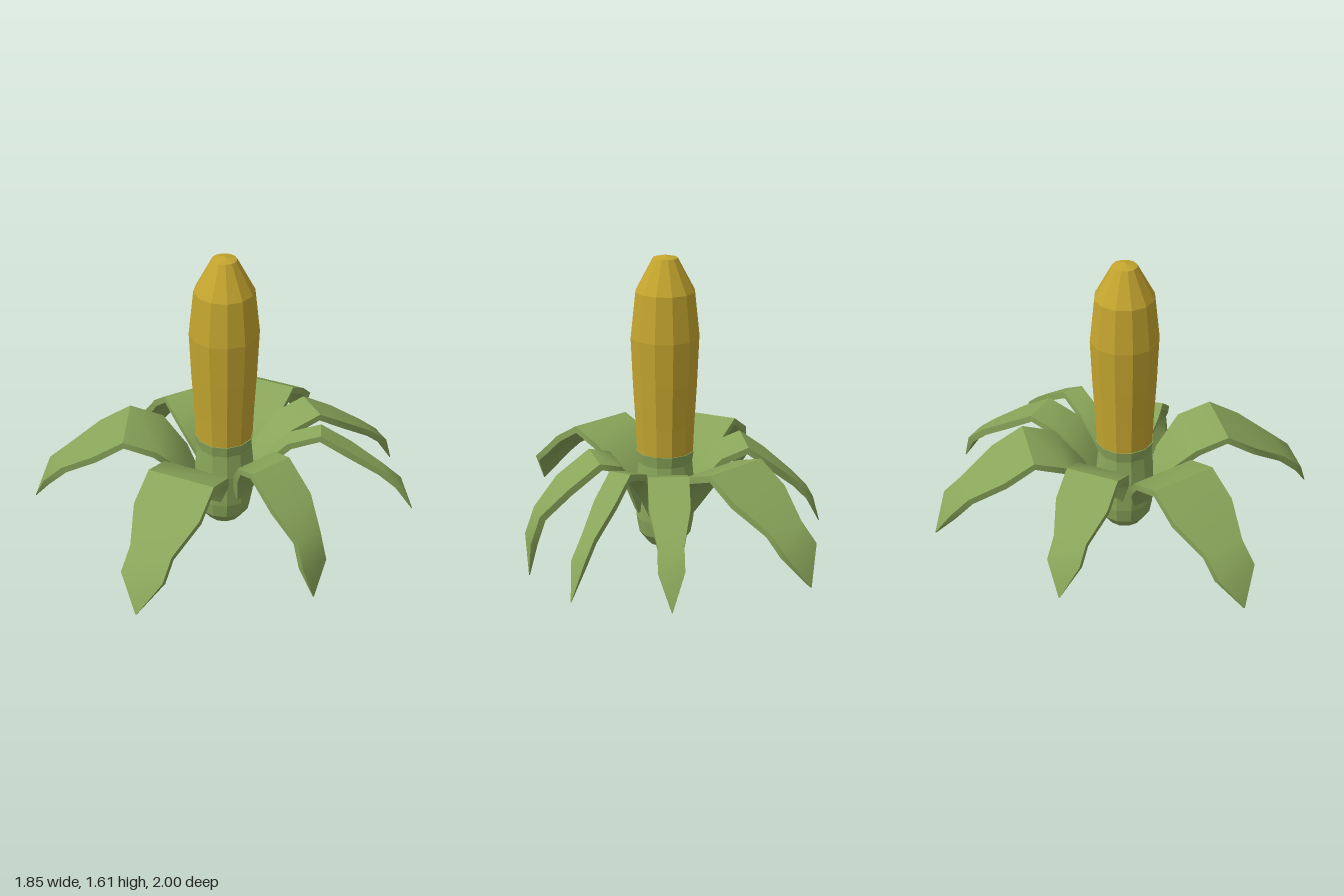
import * as THREE from 'three';
import { toCreasedNormals } from 'three/addons/utils/BufferGeometryUtils.js';

const V = (pairs) => pairs.map(([x, y]) => new THREE.Vector2(x, y));

// Leaf stations: [distance out, height, half width]
const ARCHED = [
  [0.12, 0.30, 0.05], [0.2, 0.45, 0.12], [0.33, 0.59, 0.175], [0.5, 0.645, 0.175],
  [0.66, 0.55, 0.175], [0.83, 0.435, 0.11], [0.93, 0.35, 0.11], [1.0, 0.18, 0.003],
];
const DROOPING = [
  [0.12, 0.30, 0.05], [0.18, 0.47, 0.12], [0.26, 0.58, 0.175], [0.37, 0.605, 0.175],
  [0.54, 0.48, 0.175], [0.67, 0.34, 0.11], [0.72, 0.2, 0.11], [0.72, 0.0, 0.003],
];

// Thick blade swept along +z, four corners per station
function leafGeometry(stations, reach, breadth) {
  const pts = stations.map(([r, y]) => new THREE.Vector2(r * reach, y));
  const n = pts.length;
  const pos = [];
  const idx = [];
  pts.forEach((p, i) => {
    const t = pts[Math.min(i + 1, n - 1)].clone().sub(pts[Math.max(i - 1, 0)]).normalize();
    const thick = i === n - 1 ? 0.004 : 0.035;
    const w = stations[i][2] * breadth;
    const lowZ = p.x + t.y * thick;
    const lowY = p.y - t.x * thick;
    pos.push(-w, p.y, p.x, w, p.y, p.x, w, lowY, lowZ, -w, lowY, lowZ);
    if (i === n - 1) return;
    for (let k = 0; k < 4; k++) {
      const a = i * 4 + k;
      const b = i * 4 + ((k + 1) % 4);
      idx.push(a, a + 4, b, b, a + 4, b + 4);
    }
  });
  const e = (n - 1) * 4;
  idx.push(0, 1, 2, 0, 2, 3, e, e + 2, e + 1, e, e + 3, e + 2);
  const g = new THREE.BufferGeometry();
  g.setAttribute('position', new THREE.Float32BufferAttribute(pos, 3));
  g.setIndex(idx);
  return toCreasedNormals(g, 0.75);
}

export function createModel() {
  const group = new THREE.Group();
  const yellow = new THREE.MeshStandardMaterial({ color: 0xc4a52f, flatShading: true });
  const green = new THREE.MeshStandardMaterial({ color: 0x8aa65a, flatShading: true });
  const leafGreen = new THREE.MeshStandardMaterial({ color: 0x8aa65a, side: THREE.DoubleSide });

  const add = (name, geometry, material) => {
    const mesh = new THREE.Mesh(geometry, material);
    mesh.name = name;
    group.add(mesh);
    return mesh;
  };

  // Faceted cob
  add('cob', new THREE.LatheGeometry(V([
    [0, 0.59], [0.145, 0.59], [0.152, 0.75], [0.165, 0.97], [0.175, 1.2],
    [0.15, 1.43], [0.062, 1.595], [0, 1.61],
  ]), 12), yellow);

  // Rounded stem below the cob
  add('stem', new THREE.LatheGeometry(V([
    [0, 0.11], [0.09, 0.11], [0.135, 0.17], [0.15, 0.25], [0.152, 0.42],
    [0.14, 0.55], [0.15, 0.61], [0, 0.615],
  ]), 12), green);

  // Husk leaves: tip direction x, z, then reach, breadth and shape
  const leaves = [
    [0, 1, 1, 1, ARCHED],
    [0, -1, 1, 1, ARCHED],
    [-0.93, 0.37, 1, 1, ARCHED],
    [-0.65, -0.48, 0.81, 0.78, ARCHED],
    [0.66, -0.75, 1, 0.56, ARCHED],
    [0.92, -0.35, 0.985, 0.32, ARCHED],
    [0.64, 0.325, 1, 0.68, DROOPING],
  ];
  leaves.forEach(([x, z, reach, breadth, shape], i) => {
    const leaf = add(`leaf${i + 1}`, leafGeometry(shape, reach, breadth), leafGreen);
    leaf.rotation.y = Math.atan2(x, z);
  });
  return group;
}
